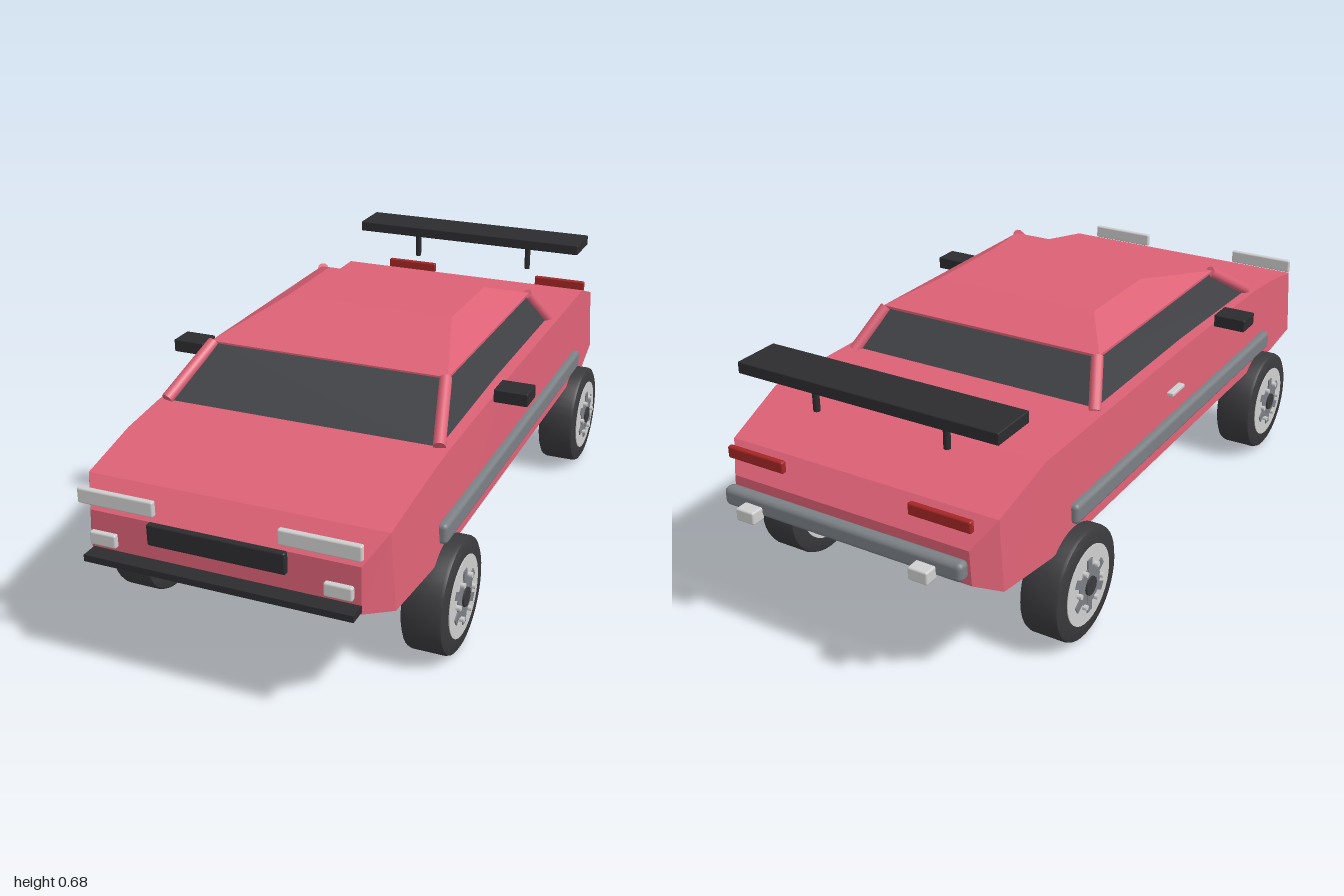
import * as THREE from 'three';
import { toCreasedNormals } from 'three/addons/utils/BufferGeometryUtils.js';
import { RoundedBoxGeometry } from 'three/addons/geometries/RoundedBoxGeometry.js';

const mat = (name, color, extra = {}) => {
  const m = new THREE.MeshStandardMaterial({ color, ...extra });
  m.name = name;
  return m;
};

export function createModel() {
  const car = new THREE.Group();
  car.name = 'car';
  const paint = mat('rose paint', 0xdc6175);
  const glass = mat('dark glass', 0x424347);
  const rubber = mat('rubber', 0x3a3a3d);
  const trim = mat('black trim', 0x2c2c2f);
  const steel = mat('grey steel', 0x7b8085);
  const light = mat('pale metal', 0xcfcfcf);
  const red = mat('tail red', 0xa52626);

  const add = (name, geo, material, x = 0, y = 0, z = 0, parent = car) => {
    const m = new THREE.Mesh(geo, material);
    m.name = name;
    m.position.set(x, y, z);
    parent.add(m);
    return m;
  };
  const box = (name, material, w, h, d, x, y, z, parent) =>
    add(name, new THREE.BoxGeometry(w, h, d), material, x, y, z, parent);
  const rounded = (name, material, w, h, d, x, y, z, r = 0.005) =>
    add(name, new RoundedBoxGeometry(w, h, d, 2, r), material, x, y, z);

  // Joins equal cross-sections into a closed, flat-sided solid
  const loft = (rings) => {
    const out = [];
    const tri = (...ps) => ps.forEach((p) => out.push(...p));
    const n = rings[0].length;
    for (let i = 0; i < rings.length - 1; i++) {
      for (let j = 0; j < n; j++) {
        const k = (j + 1) % n;
        const a = rings[i][j], b = rings[i][k], c = rings[i + 1][k], d = rings[i + 1][j];
        tri(a, d, c);
        tri(a, c, b);
      }
    }
    const last = rings[rings.length - 1];
    for (let j = 1; j < n - 1; j++) {
      tri(rings[0][0], rings[0][j], rings[0][j + 1]);
      tri(last[0], last[j + 1], last[j]);
    }
    const g = new THREE.BufferGeometry();
    g.setAttribute('position', new THREE.Float32BufferAttribute(out, 3));
    g.computeVertexNormals();
    return g;
  };

  // Lower body: z, bottom y, top y, bottom half width, top half width
  const body = [
    [0.955, 0.29, 0.41, 0.345, 0.345],
    [0.89, 0.275, 0.47, 0.4, 0.388],
    [0.7, 0.275, 0.505, 0.413, 0.396],
    [0.55, 0.275, 0.52, 0.415, 0.398],
    [0.1, 0.275, 0.53, 0.415, 0.4],
    [-0.69, 0.275, 0.53, 0.415, 0.4],
    [-0.87, 0.28, 0.465, 0.395, 0.385],
    [-0.925, 0.31, 0.4, 0.345, 0.34],
  ].map(([z, yb, yt, hb, ht]) => [[hb, yb, z], [ht, yt, z], [-ht, yt, z], [-hb, yb, z]]);
  add('body', loft(body), paint);
  box('underside', trim, 0.78, 0.012, 1.7, 0, 0.274, 0.03);

  // Cabin: y, half width, front z, rear z
  const ring = ([y, h, f, r]) => [[h, y, r], [-h, y, r], [-h, y, f], [h, y, f]];
  add('windows', loft([[0.63, 0.326, 0.378, -0.308], [0.515, 0.373, 0.55, -0.405]].map(ring)), glass);
  add('roof', loft([
    [0.682, 0.24, 0.1, -0.17], [0.632, 0.332, 0.382, -0.312], [0.625, 0.332, 0.382, -0.312],
  ].map(ring)), paint);

  // Round bar between two points
  const bar = (name, material, a, b, r) => {
    const p = new THREE.Vector3(...a), q = new THREE.Vector3(...b);
    const m = add(name, new THREE.CylinderGeometry(r, r, p.distanceTo(q), 12), material);
    m.position.copy(p).lerp(q, 0.5);
    m.quaternion.setFromUnitVectors(new THREE.Vector3(0, 1, 0), q.sub(p).normalize());
  };

  // Wheel pieces, spun around y and then turned onto the x axis
  const tyre = toCreasedNormals(new THREE.LatheGeometry([
    [0.1, -0.055], [0.138, -0.055], [0.147, -0.05], [0.15, -0.042],
    [0.15, 0.042], [0.147, 0.05], [0.138, 0.055], [0.1, 0.055],
  ].map(([r, y]) => new THREE.Vector2(r, y)), 40), 0.6);
  const disc = (r, h, n = 32) => new THREE.CylinderGeometry(r, r, h, n);
  const wheel = (x, z) => {
    const w = new THREE.Group();
    w.name = 'wheel';
    w.position.set(x, 0.153, z);
    w.rotation.z = Math.PI / 2;
    car.add(w);
    add('tyre', tyre, rubber, 0, 0, 0, w);
    add('rim', disc(0.106, 0.114), light, 0, 0, 0, w);
    add('brakeDisc', disc(0.052, 0.12), steel, 0, 0, 0, w);
    add('hub', disc(0.025, 0.132, 12), rubber, 0, 0, 0, w);
    for (let i = 0; i < 6; i++) {
      const a = (i * Math.PI) / 3;
      const s = box('spoke', steel, 0.07, 0.121, 0.022, Math.cos(a) * 0.04, 0, Math.sin(a) * 0.04, w);
      s.rotation.y = -a;
      const b = a + Math.PI / 6;
      add('bolt', disc(0.007, 0.138, 8), light, Math.cos(b) * 0.055, 0, Math.sin(b) * 0.055, w);
    }
  };

  // Everything mirrored left and right
  for (const s of [-1, 1]) {
    wheel(s * 0.402, 0.59);
    wheel(s * 0.402, -0.585);
    bar('frontPillar', paint, [s * 0.373, 0.525, 0.55], [s * 0.326, 0.628, 0.38], 0.016);
    bar('rearPillar', paint, [s * 0.37, 0.525, -0.402], [s * 0.326, 0.628, -0.31], 0.016);
    rounded('sideSkirt', steel, 0.03, 0.055, 1.23, s * 0.414, 0.34, 0.025, 0.012);
    rounded('doorHandle', light, 0.02, 0.011, 0.075, s * 0.416, 0.438, -0.024, 0.003);
    rounded('mirror', trim, 0.09, 0.035, 0.072, s * 0.464, 0.556, 0.244, 0.003);
    rounded('headlight', light, 0.202, 0.04, 0.016, s * 0.258, 0.459, 0.976);
    rounded('fogLight', light, 0.07, 0.035, 0.016, s * 0.3, 0.352, 0.976);
    rounded('tailLight', red, 0.17, 0.032, 0.016, s * 0.265, 0.464, -0.923);
    rounded('exhaust', light, 0.054, 0.034, 0.04, s * 0.25, 0.347, -0.98);
    bar('spoilerPost', trim, [s * 0.19, 0.55, -0.78], [s * 0.19, 0.64, -0.78], 0.009);
  }

  // Front, rear and spoiler
  rounded('grille', trim, 0.352, 0.055, 0.018, 0, 0.395, 0.979);
  box('frontLip', trim, 0.69, 0.017, 0.063, 0, 0.304, 0.969);
  rounded('rearBumper', steel, 0.69, 0.05, 0.036, 0, 0.36, -0.948, 0.014);
  rounded('spoilerWing', trim, 0.742, 0.031, 0.13, 0, 0.649, -0.78, 0.003);

  return car;
}
